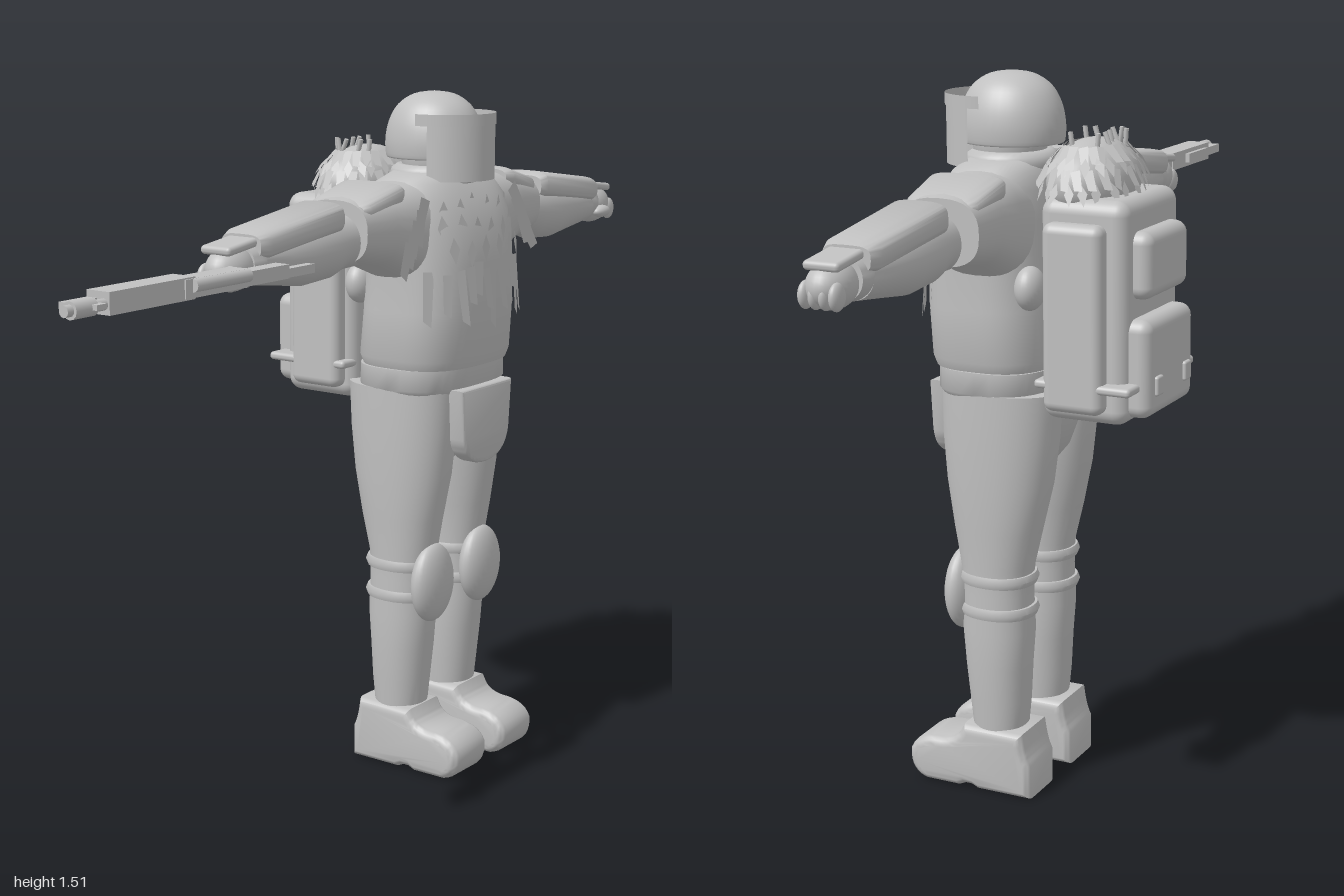
import * as THREE from 'three';
import { toCreasedNormals } from 'three/addons/utils/BufferGeometryUtils.js';
import { RoundedBoxGeometry } from 'three/addons/geometries/RoundedBoxGeometry.js';

const grey = new THREE.MeshStandardMaterial({ color: 0xc0c0c0, side: THREE.DoubleSide });
grey.name = 'plain grey';

// seeded random numbers
let seed = 7;
const rnd = () => (seed = (seed * 16807) % 2147483647) / 2147483647;

function add(parent, name, geo, x = 0, y = 0, z = 0) {
  const m = new THREE.Mesh(geo, grey);
  m.name = name;
  m.position.set(x, y, z);
  parent.add(m);
  return m;
}

// capped loft along y; ring = [y, cx, cz, rx, rz], n = squareness of the section
function loft(rings, n = 2, seg = 32) {
  const pos = [], idx = [], p = v => Math.sign(v) * Math.pow(Math.abs(v), 2 / n);
  for (const [y, cx, cz, rx, rz] of rings)
    for (let i = 0; i < seg; i++) {
      const a = i / seg * Math.PI * 2;
      pos.push(cx + rx * p(Math.cos(a)), y, cz + rz * p(Math.sin(a)));
    }
  const last = rings.length - 1;
  for (let j = 0; j < last; j++)
    for (let i = 0; i < seg; i++) {
      const k = (i + 1) % seg, a = j * seg + i, b = j * seg + k;
      idx.push(a, a + seg, b, b, a + seg, b + seg);
    }
  for (const j of [0, last]) {
    const [y, cx, cz] = rings[j], c = pos.length / 3;
    pos.push(cx, y, cz);
    for (let i = 0; i < seg; i++) {
      const a = j * seg + i, b = j * seg + (i + 1) % seg;
      if (j) idx.push(c, b, a); else idx.push(c, a, b);
    }
  }
  const g = new THREE.BufferGeometry();
  g.setAttribute('position', new THREE.Float32BufferAttribute(pos, 3));
  g.setIndex(idx);
  return toCreasedNormals(g, 0.8);
}

// loft along an arm; ring = [distance out, cx, cy, rx, ry], s = side
const armLoft = (rings, s, n) =>
  loft(rings.map(([d, cx, cy, rx, ry]) => [d, cx, -s * cy, rx, ry]), n).rotateX(s * Math.PI / 2);

const ellipsoid = (rx, ry, rz) => new THREE.SphereGeometry(1, 28, 18).scale(rx, ry, rz);

// flat scrap of cloth hanging from its top edge, facing +x
function scrap(w, h, pointed) {
  const s = new THREE.Shape();
  if (pointed) s.moveTo(0, 0).lineTo(w / 2, -h * 0.45).lineTo(0, -h).lineTo(-w / 2, -h * 0.45);
  else s.moveTo(-w / 2, 0).lineTo(w / 2, 0).lineTo(w * 0.4, -h).lineTo(-w * 0.4, -h * 0.88);
  return new THREE.ShapeGeometry(s).rotateY(Math.PI / 2);
}

function buildLeg(s) {
  const leg = new THREE.Group();
  leg.name = s > 0 ? 'rightLeg' : 'leftLeg';
  const z = s * 0.097;
  add(leg, 'trouserLeg', loft([
    [0.12, 0.075, z, 0.056, 0.056], [0.2, 0.075, z, 0.064, 0.062], [0.28, 0.077, z, 0.07, 0.067],
    [0.36, 0.077, z, 0.077, 0.068], [0.44, 0.078, z, 0.075, 0.066], [0.5, 0.078, z, 0.078, 0.067],
    [0.58, 0.075, z, 0.095, 0.073], [0.68, 0.072, s * 0.092, 0.115, 0.082],
    [0.78, 0.07, s * 0.089, 0.126, 0.087], [0.88, 0.068, s * 0.088, 0.13, 0.088]], 2.2));
  for (const y of [0.405, 0.475])
    add(leg, 'kneeStrap', loft([[y - 0.012, 0.076, z, 0.08, 0.069], [y, 0.076, z, 0.085, 0.073],
      [y + 0.012, 0.076, z, 0.08, 0.069]], 2.2));
  add(leg, 'kneePad', ellipsoid(0.034, 0.09, 0.07), 0.157, 0.435, z);
  // boot: side profile, extruded with rounded edges
  const b = new THREE.Shape();
  b.moveTo(0, 0.02).lineTo(0.1, 0.02).lineTo(0.115, 0.027).lineTo(0.14, 0.027).lineTo(0.155, 0.02)
    .lineTo(0.225, 0.02).quadraticCurveTo(0.252, 0.025, 0.25, 0.06).quadraticCurveTo(0.24, 0.085, 0.19, 0.085)
    .quadraticCurveTo(0.14, 0.09, 0.125, 0.125).lineTo(0.015, 0.125).quadraticCurveTo(0.01, 0.09, 0, 0.07);
  const bg = new THREE.ExtrudeGeometry(b, { depth: 0.09, bevelSize: 0.02, bevelThickness: 0.022, bevelSegments: 5, curveSegments: 8 });
  add(leg, 'boot', toCreasedNormals(bg, 0.7), 0, 0, z - 0.045);
  return leg;
}

function buildArm(s) {
  const arm = new THREE.Group();
  arm.name = s > 0 ? 'rightArm' : 'leftArm';
  add(arm, 'capeSleeve', armLoft([[0.08, 0.085, 1.215, 0.1, 0.115], [0.16, 0.08, 1.225, 0.1, 0.105],
    [0.25, 0.07, 1.24, 0.095, 0.082], [0.34, 0.065, 1.24, 0.086, 0.066]], s, 2.6));
  add(arm, 'sleeve', armLoft([[0.25, 0.075, 1.225, 0.06, 0.06], [0.36, 0.075, 1.22, 0.058, 0.058],
    [0.4, 0.075, 1.215, 0.062, 0.066], [0.48, 0.074, 1.21, 0.062, 0.066], [0.56, 0.074, 1.21, 0.057, 0.055],
    [0.64, 0.075, 1.21, 0.048, 0.045]], s));
  add(arm, 'shoulderPlate', armLoft([[0.2, 0.07, 1.31, 0.075, 0.022], [0.22, 0.07, 1.31, 0.085, 0.026],
    [0.32, 0.068, 1.285, 0.078, 0.024], [0.335, 0.068, 1.28, 0.07, 0.019]], s, 3.5));
  add(arm, 'forearmPlate', armLoft([[0.385, 0.073, 1.275, 0.053, 0.025], [0.4, 0.073, 1.278, 0.063, 0.032],
    [0.63, 0.073, 1.248, 0.06, 0.03], [0.655, 0.073, 1.245, 0.05, 0.024]], s, 3.5));
  add(arm, 'gloveCuff', armLoft([[0.62, 0.075, 1.215, 0.046, 0.044], [0.65, 0.075, 1.212, 0.05, 0.046],
    [0.67, 0.075, 1.212, 0.044, 0.042]], s));
  add(arm, 'hand', ellipsoid(0.043, 0.045, 0.06), 0.078, 1.205, s * 0.695);
  const back = add(arm, 'handPlate', new RoundedBoxGeometry(0.075, 0.018, 0.1, 3, 0.008), 0.075, 1.25, s * 0.69);
  back.rotation.x = s * 0.13;
  for (let i = 0; i < 4; i++)
    add(arm, 'finger', ellipsoid(0.012, 0.026, 0.022), 0.046 + i * 0.021, 1.192, s * 0.732);
  add(arm, 'thumb', ellipsoid(0.018, 0.015, 0.032), 0.12, 1.19, s * 0.68);
  return arm;
}

const torsoRings = [[0.925, 0.092, 0, 0.13, 0.17], [0.945, 0.092, 0, 0.136, 0.178], [1.05, 0.1, 0, 0.135, 0.176],
  [1.15, 0.102, 0, 0.132, 0.174], [1.23, 0.1, 0, 0.125, 0.178], [1.29, 0.09, 0, 0.108, 0.18],
  [1.325, 0.085, 0, 0.088, 0.16], [1.345, 0.085, 0, 0.07, 0.1]];

// point on the front of the torso
function chestX(y, z) {
  let j = 0;
  while (j < torsoRings.length - 2 && torsoRings[j + 1][0] < y) j++;
  const [a, b] = [torsoRings[j], torsoRings[j + 1]], t = (y - a[0]) / (b[0] - a[0]);
  const at = k => a[k] + (b[k] - a[k]) * t;
  return at(1) + at(3) * Math.pow(Math.max(0, 1 - Math.pow(Math.abs(z) / at(4), 2.8)), 1 / 2.8);
}

function buildTorso() {
  const g = new THREE.Group();
  g.name = 'torso';
  add(g, 'tunic', loft(torsoRings, 2.8, 48));
  add(g, 'belt', loft([[0.87, 0.086, 0, 0.122, 0.17], [0.88, 0.086, 0, 0.127, 0.178], [0.925, 0.086, 0, 0.127, 0.176]], 2.8, 40));
  add(g, 'hips', loft([[0.69, 0.07, 0, 0.06, 0.04], [0.74, 0.07, 0, 0.1, 0.09], [0.82, 0.07, 0, 0.125, 0.15], [0.88, 0.072, 0, 0.13, 0.172]], 2.4));
  // groin guard with rounded lower end
  const f = new THREE.Shape();
  f.moveTo(-0.09, 0.87).lineTo(0.09, 0.87).lineTo(0.082, 0.77).quadraticCurveTo(0.07, 0.715, 0, 0.715)
    .quadraticCurveTo(-0.07, 0.715, -0.082, 0.77);
  const fg = new THREE.ExtrudeGeometry(f, { depth: 0.025, bevelSize: 0.01, bevelThickness: 0.01, bevelSegments: 4 });
  add(g, 'groinGuard', toCreasedNormals(fg.rotateY(Math.PI / 2), 0.7), 0.2, 0, 0);
  for (const s of [-1, 1]) add(g, 'sidePouch', ellipsoid(0.03, 0.045, 0.04), -0.02, 1.1, s * 0.13);
  // hanging strips and diamond scraps of the camouflage cape
  const hang = (y, z, w, h, pointed) => {
    const m = add(g, 'capeScrap', scrap(w, h, pointed), chestX(y, z) + 0.008, y, z);
    m.rotation.set((rnd() - 0.5) * 0.25, -z * 3, 0.04 + rnd() * 0.06, 'YXZ');
  };
  for (let i = 0; i < 13; i++) hang(1.13 + rnd() * 0.04, -0.162 + i * 0.027, 0.02 + rnd() * 0.012, 0.07 + rnd() * 0.08, false);
  for (let r = 0; r < 3; r++)
    for (let i = 0; i < 6; i++) hang(1.2 + r * 0.045 + rnd() * 0.02, -0.13 + i * 0.05 + (r % 2) * 0.015, 0.028, 0.06, true);
  for (const s of [-1, 1])
    for (let i = 0; i < 5; i++) {
      const m = add(g, 'sleeveScrap', scrap(0.035, 0.08, false), 0.178, 1.3 - i * 0.022, s * (0.17 + i * 0.014));
      m.rotation.x = s * -0.4 + rnd() * 0.3;
    }
  return g;
}

function buildHead() {
  const g = new THREE.Group();
  g.name = 'head';
  const tor = (r, t) => new THREE.TorusGeometry(r, t, 10, 36).rotateX(Math.PI / 2);
  add(g, 'collar', tor(0.075, 0.024), 0.085, 1.335, 0);
  add(g, 'head', ellipsoid(0.078, 0.1, 0.078), 0.09, 1.38, 0);
  const pts = [[0.1, 1.372], [0.106, 1.375], [0.108, 1.41], [0.1, 1.45], [0.08, 1.485], [0.045, 1.508], [0, 1.515]];
  const dome = new THREE.LatheGeometry(new THREE.SplineCurve(pts.map(p => new THREE.Vector2(...p))).getPoints(24), 36);
  add(g, 'helmet', dome.scale(1.02, 1, 0.93), 0.083, 0, 0);
  // wrap-around face shield and its headband
  const shield = (h, a, r) => new THREE.CylinderGeometry(r, r, h, 32, 1, true, Math.PI / 2 - a, a * 2);
  add(g, 'faceShield', shield(0.135, 1.45, 0.102), 0.12, 1.395, 0);
  add(g, 'shieldBand', shield(0.025, 1.7, 0.106), 0.118, 1.458, 0);
  add(g, 'mask', new RoundedBoxGeometry(0.07, 0.06, 0.1, 3, 0.02), 0.145, 1.355, 0);
  return g;
}

function buildBackpack() {
  const g = new THREE.Group();
  g.name = 'backpack';
  const box = (name, w, h, d, x, y, z, r = 0.02) => add(g, name, new RoundedBoxGeometry(w, h, d, 4, r), x, y, z);
  box('packBody', 0.19, 0.45, 0.27, -0.135, 1.06, 0, 0.03);
  box('upperPouch', 0.07, 0.135, 0.2, -0.232, 1.155, 0, 0.025);
  box('lowerPouch', 0.08, 0.2, 0.23, -0.232, 0.95, 0, 0.025);
  for (const s of [-1, 1]) box('sidePocket', 0.13, 0.38, 0.05, -0.125, 1.05, s * 0.143);
  box('packStrap', 0.21, 0.018, 0.33, -0.147, 0.915, 0, 0.008);
  for (const s of [-1, 1]) box('buckle', 0.015, 0.04, 0.03, -0.272, 0.915, s * 0.07, 0.005);
  // rolled net covered in leaves
  add(g, 'netRoll', ellipsoid(0.085, 0.085, 0.135), -0.1, 1.305, 0);
  for (let r = 0; r < 4; r++)
    for (let i = 0; i < 22; i++) {
      const a = (i + (r % 2) / 2 + rnd() * 0.3) / 22 * Math.PI * 2, e = 0.1 + r * 0.27;
      const m = add(g, 'leaf', scrap(0.02, 0.045, r % 2 === 0),
        -0.1 + 0.09 * Math.cos(e) * Math.cos(a), 1.305 + 0.095 * Math.sin(e), 0.14 * Math.cos(e) * Math.sin(a));
      m.rotation.set((rnd() - 0.5) * 0.6, -a, 0.3 + e * 0.5, 'YXZ');
    }
  for (let i = 0; i < 10; i++)
    add(g, 'twig', new THREE.CylinderGeometry(0.005, 0.005, 0.04, 6), -0.15 + rnd() * 0.1, 1.385, -0.07 + rnd() * 0.14)
      .rotation.z = (rnd() - 0.5) * 0.8;
  return g;
}

function buildRifle() {
  const g = new THREE.Group();
  g.name = 'rifle';
  const box = (name, w, h, z0, z1, x, y) => add(g, name, new THREE.BoxGeometry(w, h, z1 - z0), x, y, (z0 + z1) / 2);
  const rod = (name, r, z0, z1, x, y) =>
    add(g, name, new THREE.CylinderGeometry(r, r, z1 - z0, 12).rotateX(Math.PI / 2), x, y, (z0 + z1) / 2);
  box('stock', 0.02, 0.018, 0.28, 0.42, 0.145, 1.193);
  box('stockRear', 0.035, 0.028, 0.38, 0.54, 0.152, 1.2);
  box('receiver', 0.045, 0.036, 0.52, 0.7, 0.158, 1.205);
  box('grip', 0.05, 0.025, 0.5, 0.535, 0.125, 1.2);
  box('magazine', 0.04, 0.022, 0.62, 0.66, 0.14, 1.205);
  box('handguard', 0.055, 0.042, 0.67, 0.9, 0.15, 1.205);
  box('foregrip', 0.035, 0.022, 0.75, 0.87, 0.13, 1.205);
  rod('scope', 0.013, 0.52, 0.68, 0.18, 1.21);
  rod('barrel', 0.011, 0.88, 1.0, 0.163, 1.203);
  rod('muzzle', 0.017, 0.93, 0.985, 0.163, 1.203);
  box('frontSight', 0.02, 0.01, 0.92, 0.945, 0.18, 1.205);
  box('barrelLug', 0.025, 0.02, 0.9, 0.97, 0.135, 1.203);
  return g;
}

export function createModel() {
  seed = 7;
  const model = new THREE.Group(), body = new THREE.Group();
  body.name = 'soldier';
  body.position.z = -0.245;
  for (const s of [-1, 1]) body.add(buildLeg(s), buildArm(s));
  body.add(buildTorso(), buildHead(), buildBackpack());
  model.add(body, buildRifle());
  return model;
}
